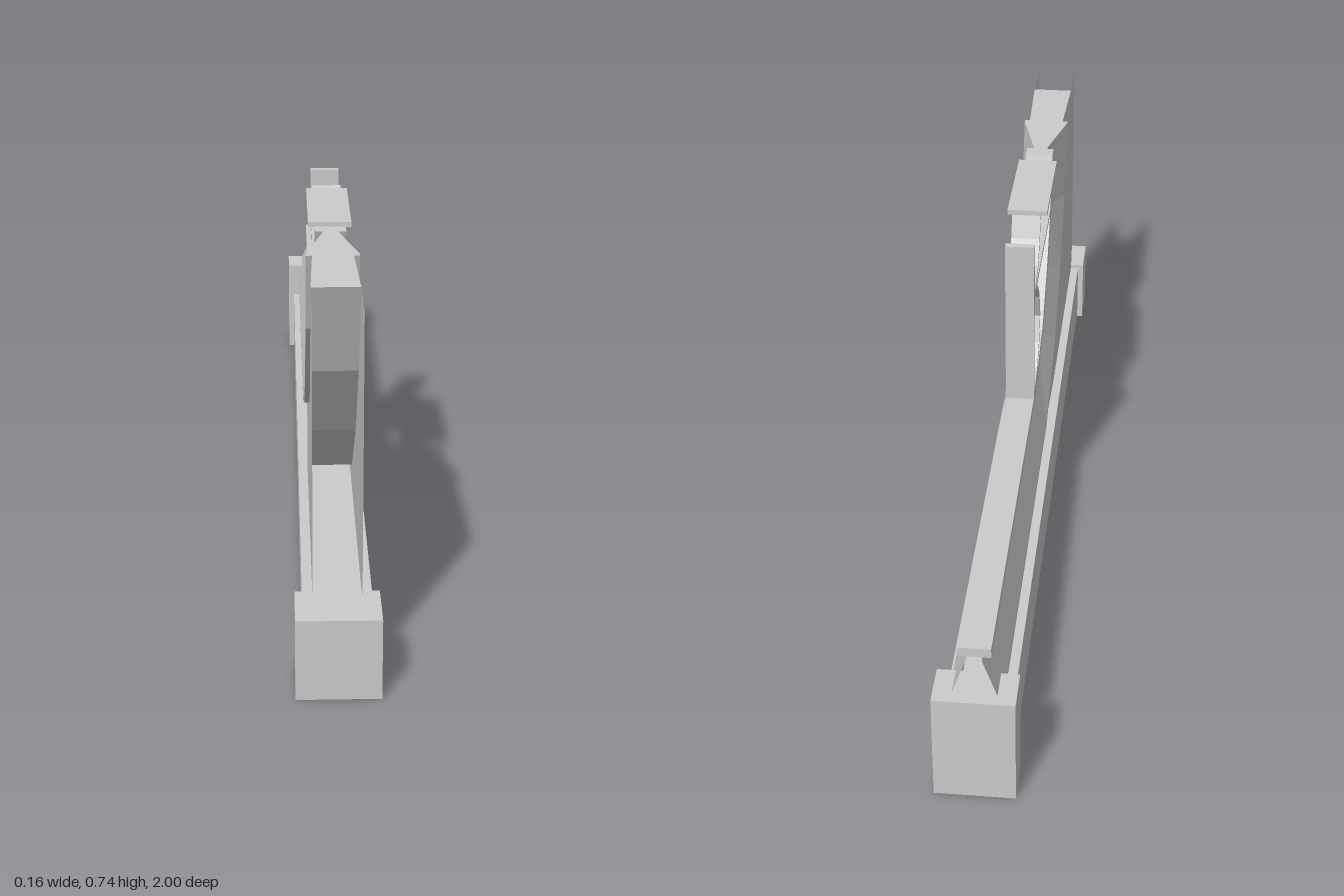
import * as THREE from 'three';

const grey = new THREE.MeshStandardMaterial({ color: 0xcccccc, flatShading: true, side: THREE.DoubleSide });

// Side-view curves as [z, y], from the raised front end to the level back end
const capTop = [[0.38, 0.735], [0.33, 0.605], [0.245, 0.5], [0.125, 0.4], [-0.095, 0.345], [-0.965, 0.345]];
const capBottom = [[0.415, 0.735], [0.365, 0.6], [0.285, 0.49], [0.15, 0.38], [-0.06, 0.325], [-0.965, 0.325]];
const ridge = [[0.415, 0.735], [0.365, 0.6], [0.285, 0.49], [0.15, 0.38], [-0.06, 0.325], [-0.975, 0.325]];
const lipTop = [[0.57, 0.735], [0.508, 0.57], [0.39, 0.427], [0.247, 0.305], [0.01, 0.214], [-0.975, 0.214]];
const lipBottom = [[0.58, 0.735], [0.518, 0.562], [0.4, 0.417], [0.255, 0.295], [0.012, 0.203], [-0.975, 0.203]];
const keel = [[0.775, 0.735], [0.69, 0.537], [0.565, 0.36], [0.39, 0.205], [0.08, 0.07], [-0.975, 0.07]];

export function createModel() {
  const model = new THREE.Group();

  const add = (name, geometry) => {
    const mesh = new THREE.Mesh(geometry, grey);
    mesh.name = name;
    model.add(mesh);
    return mesh;
  };

  const sideShape = points => new THREE.Shape(points.map(([z, y]) => new THREE.Vector2(z, y)));

  // Side profile given a width across x
  const slab = (name, points, halfWidth) => {
    const g = new THREE.ExtrudeGeometry(sideShape(points), { depth: halfWidth * 2, bevelEnabled: false });
    g.translate(0, 0, -halfWidth);
    return add(name, g.rotateY(-Math.PI / 2));
  };

  // Box from its half width and its y and z limits
  const block = (name, hw, y0, y1, z0, z1) =>
    add(name, new THREE.BoxGeometry(hw * 2, y1 - y0, z1 - z0).translate(0, (y0 + y1) / 2, (z0 + z1) / 2));

  // Thin bent strap that follows a side-view path
  const strap = (name, path, halfWidth, thickness) => {
    const offset = s => path.map((p, i) => {
      const a = path[Math.max(i - 1, 0)], b = path[Math.min(i + 1, path.length - 1)];
      const dz = b[0] - a[0], dy = b[1] - a[1], l = Math.hypot(dz, dy);
      return [p[0] - dy / l * s, p[1] + dz / l * s];
    });
    slab(name, [...offset(thickness / 2), ...offset(-thickness / 2).reverse()], halfWidth);
  };

  // Base beam and its end blocks
  block('baseBeam', 0.067, 0.01, 0.155, -0.95, 0.95);
  block('frontEndBlock', 0.081, 0, 0.165, 0.885, 1);
  block('backEndBlock', 0.081, 0, 0.24, -1, -0.91);

  // Swept body: mirrored rails joined into one loop, open at the back end
  const half = [[ridge, 0.015], [lipTop, 0.053], [lipBottom, 0.053], [lipBottom, 0.041], [keel, 0.047]];
  const loop = [...half, ...half.slice().reverse().map(([c, x]) => [c, -x])];
  const pos = [], index = [];
  for (const [curve, x] of loop) for (const [z, y] of curve) pos.push(x, y, z);
  const n = keel.length;
  for (let r = 0; r < loop.length; r++) {
    const s = (r + 1) % loop.length;
    for (let i = 0; i < n - 1; i++) {
      const a = r * n + i, b = s * n + i;
      index.push(a, b, a + 1, b, b + 1, a + 1);
    }
  }
  const body = new THREE.BufferGeometry();
  body.setAttribute('position', new THREE.Float32BufferAttribute(pos, 3));
  body.setIndex(index);
  const flatBody = body.toNonIndexed();
  flatBody.computeVertexNormals();
  add('curvedBody', flatBody);

  // Flat top of the raised end
  const top = new THREE.ShapeGeometry(new THREE.Shape(loop.map(([c, x]) => new THREE.Vector2(x, -c[0][0]))));
  add('bodyTop', top.rotateX(-Math.PI / 2).translate(0, 0.735, 0));

  // Cap rail along the inner curve
  slab('capRail', [...capTop, ...capBottom.slice().reverse()], 0.032);

  // Thin side walls behind the curve
  const wall = [[0.91, 0.12], [0.91, 0.735], ...keel.slice(0, 4), [0.2, 0.12]];
  for (const side of [1, -1]) {
    const g = new THREE.ShapeGeometry(sideShape(wall)).rotateY(-Math.PI / 2);
    add(side > 0 ? 'leftWall' : 'rightWall', g.translate(side * 0.047, 0, 0));
  }

  // Upright, crossbar and small deck
  block('upright', 0.032, 0.34, 0.735, -0.096, -0.08);
  block('crossbar', 0.032, 0.602, 0.613, -0.085, 0.335);
  block('deck', 0.045, 0.724, 0.735, 0.08, 0.347);
  block('deckPost', 0.03, 0.655, 0.726, 0.257, 0.281);

  // Bent braces against the upright
  strap('upperBrace', [[0.062, 0.733], [0.04, 0.685], [0, 0.637], [-0.085, 0.61]], 0.032, 0.011);
  strap('lowerBrace', [[-0.085, 0.606], [-0.005, 0.587], [0.035, 0.545], [0.06, 0.478], [0.035, 0.418], [-0.01, 0.374], [-0.08, 0.346]], 0.032, 0.011);

  return model;
}
